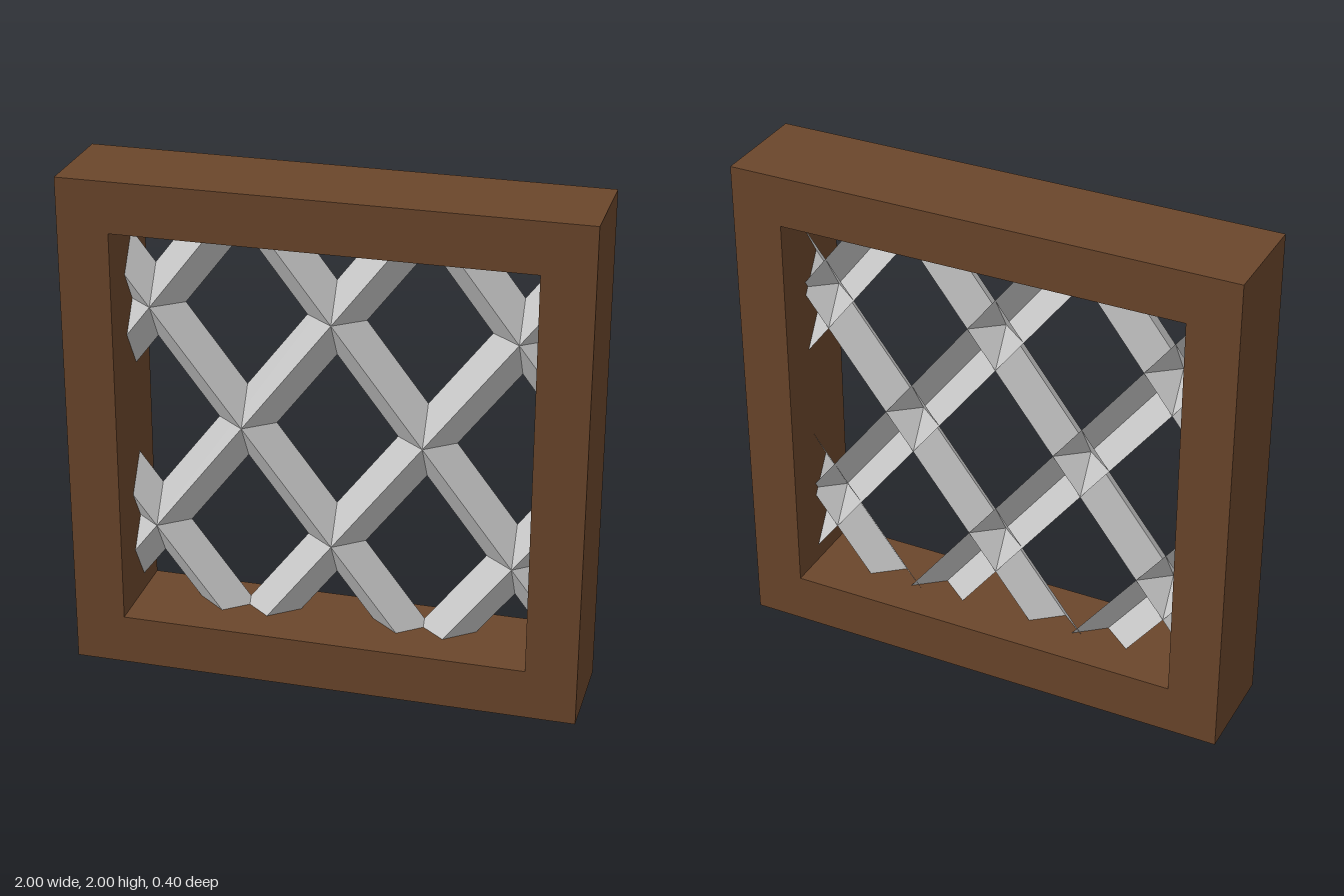
import * as THREE from 'three';

const INNER = 0.8;     // half the opening
const SLOPE = 1.302;   // steepness of the diagonal bars
const HALF = 0.15;     // bar half-width, measured vertically
const RIDGE = 0.045, EDGE = -0.047;

// Keep the part of a polygon where side(p) >= 0
function clip(points, side) {
  const out = [];
  points.forEach((p, i) => {
    const q = points[(i + 1) % points.length];
    const a = side(p), b = side(q);
    if (a >= 0) out.push(p);
    if (a * b < 0) out.push(p.clone().lerp(q, a / (a - b)));
  });
  return out;
}

// One V-folded bar along y = slope * x + c, trimmed to the frame opening
function barGeometry(slope, c) {
  const positions = [];
  for (const s of [-1, 1]) {
    const at = (x, t, z) => new THREE.Vector3(x, slope * x + c + t - 1, z);
    let poly = [at(-2, 0, RIDGE), at(2, 0, RIDGE), at(2, s * HALF, EDGE), at(-2, s * HALF, EDGE)];
    if (s < 0) poly.reverse();
    for (const axis of ['x', 'y'])
      for (const sign of [-1, 1]) poly = clip(poly, p => INNER - sign * p[axis]);
    for (let i = 1; i < poly.length - 1; i++)
      for (const p of [poly[0], poly[i], poly[i + 1]]) positions.push(p.x, p.y + 1, p.z);
  }
  const geometry = new THREE.BufferGeometry();
  geometry.setAttribute('position', new THREE.Float32BufferAttribute(positions, 3));
  geometry.computeVertexNormals();
  return geometry;
}

export function createModel() {
  const model = new THREE.Group();
  model.name = 'latticeWindow';

  const wood = new THREE.MeshStandardMaterial({ color: 0x6b462b });
  wood.name = 'brownWood';
  const metal = new THREE.MeshStandardMaterial({ color: 0xc8c8c8, side: THREE.DoubleSide });
  metal.name = 'greyMetal';

  // Square frame with a square opening
  const outline = new THREE.Shape([[-1, 0], [1, 0], [1, 2], [-1, 2]].map(p => new THREE.Vector2(...p)));
  outline.holes.push(new THREE.Path(
    [[-INNER, 0.2], [-INNER, 1.8], [INNER, 1.8], [INNER, 0.2]].map(p => new THREE.Vector2(...p))));
  const frameGeometry = new THREE.ExtrudeGeometry(outline, { depth: 0.4, bevelEnabled: false });
  frameGeometry.translate(0, 0, -0.2);
  const frame = new THREE.Mesh(frameGeometry, wood);
  frame.name = 'frame';
  model.add(frame);

  // Crossing diagonal bars, four each way
  const lattice = new THREE.Group();
  lattice.name = 'lattice';
  for (const direction of [-1, 1]) {
    for (let i = 0; i < 4; i++) {
      const bar = new THREE.Mesh(barGeometry(direction * SLOPE, 1 + 0.92 * (i - 1.5)), metal);
      bar.name = direction > 0 ? 'risingBar' : 'fallingBar';
      lattice.add(bar);
    }
  }
  model.add(lattice);
  return model;
}
